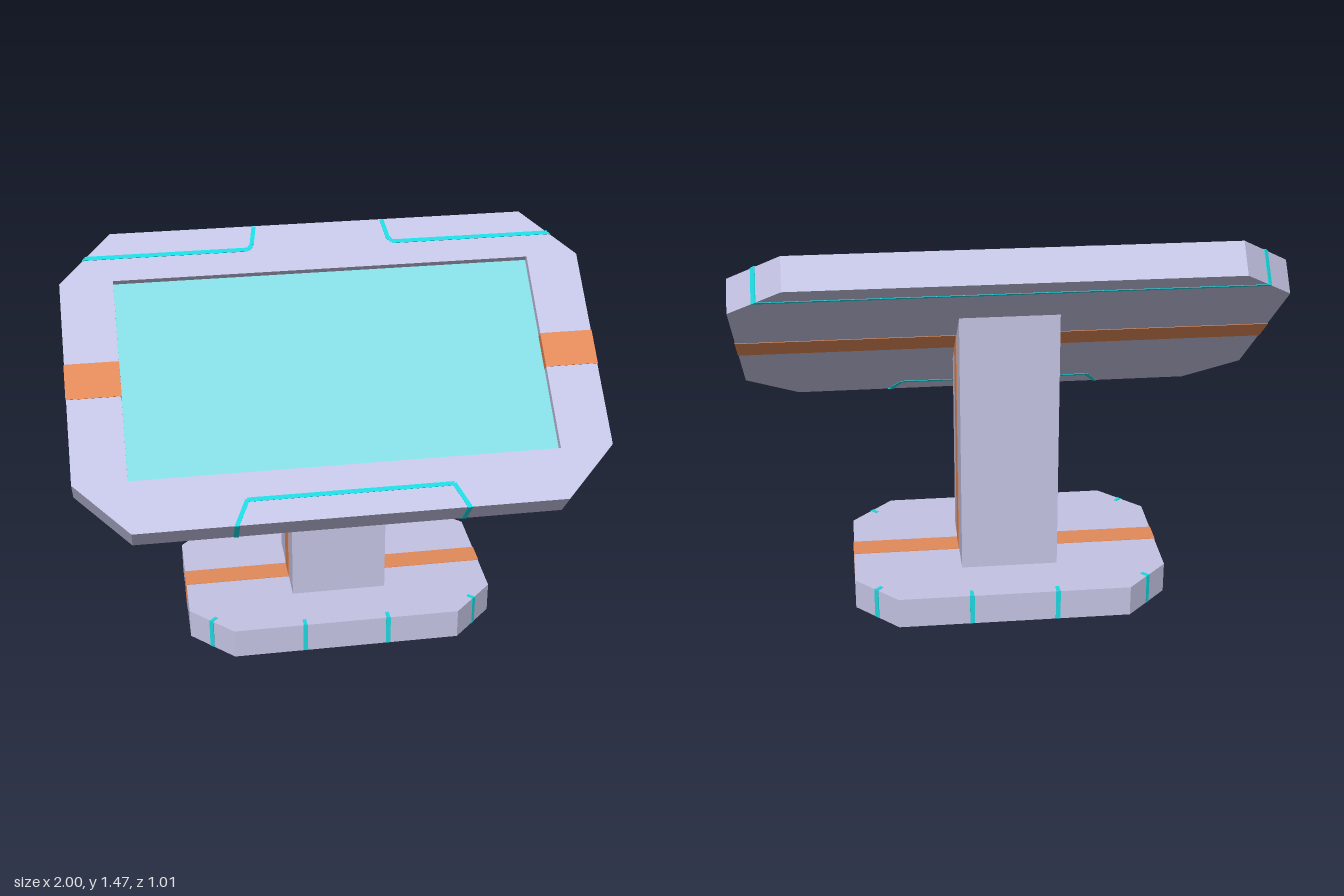
import * as THREE from 'three';

const mat = (name, color) => {
  const m = new THREE.MeshStandardMaterial({ color });
  m.name = name;
  return m;
};

export function createModel() {
  const shell = mat('lavender shell', 0xc4c4e4);
  const orange = mat('orange band', 0xe28a5a);
  const cyan = mat('cyan trace', 0x1ed8e0);
  const glass = mat('pale teal screen', 0x84dae2);

  const add = (parent, name, geometry, material, x = 0, y = 0, z = 0) => {
    const mesh = new THREE.Mesh(geometry, material);
    mesh.name = name;
    mesh.position.set(x, y, z);
    parent.add(mesh);
    return mesh;
  };
  const box = (w, h, d) => new THREE.BoxGeometry(w, h, d);
  const extrude = (shape, depth) => new THREE.ExtrudeGeometry(shape, { depth, bevelEnabled: false });
  const polygon = (pts) => new THREE.Shape(pts.map(([x, y]) => new THREE.Vector2(x, y)));

  // Rectangle with four cut corners
  const octagon = (x, y, c) => polygon([
    [-x + c, -y], [x - c, -y], [x, -y + c], [x, y - c],
    [x - c, y], [-x + c, y], [-x, y - c], [-x, -y + c],
  ]);

  // Thin inlaid line following points in a plane of constant z
  const trace = (parent, name, pts, z, width = 0.016, depth = 0.004) => {
    for (let i = 1; i < pts.length; i++) {
      const [ax, ay] = pts[i - 1], [bx, by] = pts[i];
      const strip = add(parent, name, box(Math.hypot(bx - ax, by - ay), width, depth), cyan,
        (ax + bx) / 2, (ay + by) / 2, z);
      strip.rotation.z = Math.atan2(by - ay, bx - ax);
    }
  };

  const model = new THREE.Group();
  model.name = 'consoleStand';

  // Tilted head: local x across, y up the slope, z out of the screen
  const head = new THREE.Group();
  head.name = 'head';
  head.position.set(0, 1.037, 0);
  head.rotation.x = THREE.MathUtils.degToRad(-50);
  model.add(head);

  const T = 0.065, screenZ = 0.035;
  add(head, 'headBack', extrude(octagon(1, 0.6, 0.2), T + screenZ), shell, 0, 0, -T);
  const rim = octagon(1, 0.6, 0.2);
  rim.holes.push(polygon([[-0.8, -0.4], [-0.8, 0.4], [0.8, 0.4], [0.8, -0.4]]));
  add(head, 'screenFrame', extrude(rim, T - screenZ), shell, 0, 0, screenZ);
  add(head, 'screen', box(1.6, 0.8, 0.002), glass, 0, 0, screenZ + 0.001);

  // Orange band round the back and both sides
  add(head, 'headBackBand', box(2, 0.14, 0.004), orange, 0, 0, -T);
  for (const s of [-1, 1]) {
    add(head, 'headSideBand', box(0.203, 0.14, 2 * T + 0.004), orange, s * 0.9005, 0, 0);

    // Upper traces and their run over the cut corners
    trace(head, 'upperTrace', [[s * 0.9, 0.5], [s * 0.28, 0.5], [s * 0.265, 0.52], [s * 0.25, 0.598]], T);
    trace(head, 'cornerTrace', [[s * 0.892, 0.508], [s * 0.908, 0.492]], 0, 0.005, 2 * T + 0.004);
    // Lower trace over the bottom edge
    add(head, 'lowerEdgeTrace', box(0.02, 0.004, 2 * T + 0.004), cyan, s * 0.425, -0.6, 0);
  }
  for (const z of [-T, T]) {
    trace(head, 'lowerTrace', [[-0.425, -0.598], [-0.38, -0.505], [0.38, -0.505], [0.425, -0.598]], z);
  }
  trace(head, 'upperBackTrace', [[-0.9, 0.5], [0.9, 0.5]], -T, 0.012);

  // Column with its top cut to meet the underside of the head
  const under = (z) => 0.987 - (z + 0.042) * 0.839;
  const column = (z0, z1, halfX) => extrude(polygon([
    [-z0, 0.1], [-z1, 0.1], [-z1, under(z1)], [-z0, under(z0)],
  ]), 2 * halfX).translate(0, 0, -halfX).rotateY(Math.PI / 2);
  add(model, 'column', column(0.125, -0.243, 0.185), shell);
  add(model, 'columnBand', column(0.007, -0.097, 0.187), orange);

  // Foot: local y points to the back, z up
  const foot = new THREE.Group();
  foot.name = 'foot';
  foot.position.set(0, 0, -0.0575);
  foot.rotation.x = -Math.PI / 2;
  model.add(foot);

  const H = 0.12, D = 0.3975;
  add(foot, 'footPlate', extrude(octagon(0.6, D, 0.16), H), shell);
  add(foot, 'footBand', box(1.204, 0.096, H), orange, 0, -0.01, H / 2 + 0.002);
  for (const sx of [-1, 1]) {
    for (const sy of [-1, 1]) {
      // Short ticks on the front, back and cut corners
      add(foot, 'footTrace', box(0.018, 0.004, H), cyan, sx * 0.163, sy * D, H / 2 + 0.001);
      trace(foot, 'footTopTrace', [[sx * 0.163, sy * D], [sx * 0.163, sy * (D - 0.035)]], H, 0.014);
      const cx = sx * 0.52, cy = sy * (D - 0.08);
      trace(foot, 'footCornerTrace', [[cx - sx * 0.007, cy + sy * 0.007], [cx + sx * 0.007, cy - sy * 0.007]],
        H / 2 + 0.001, 0.005, H);
      trace(foot, 'footTopTrace', [[cx, cy], [cx - sx * 0.02, cy - sy * 0.02]], H, 0.014);
    }
  }

  return model;
}
